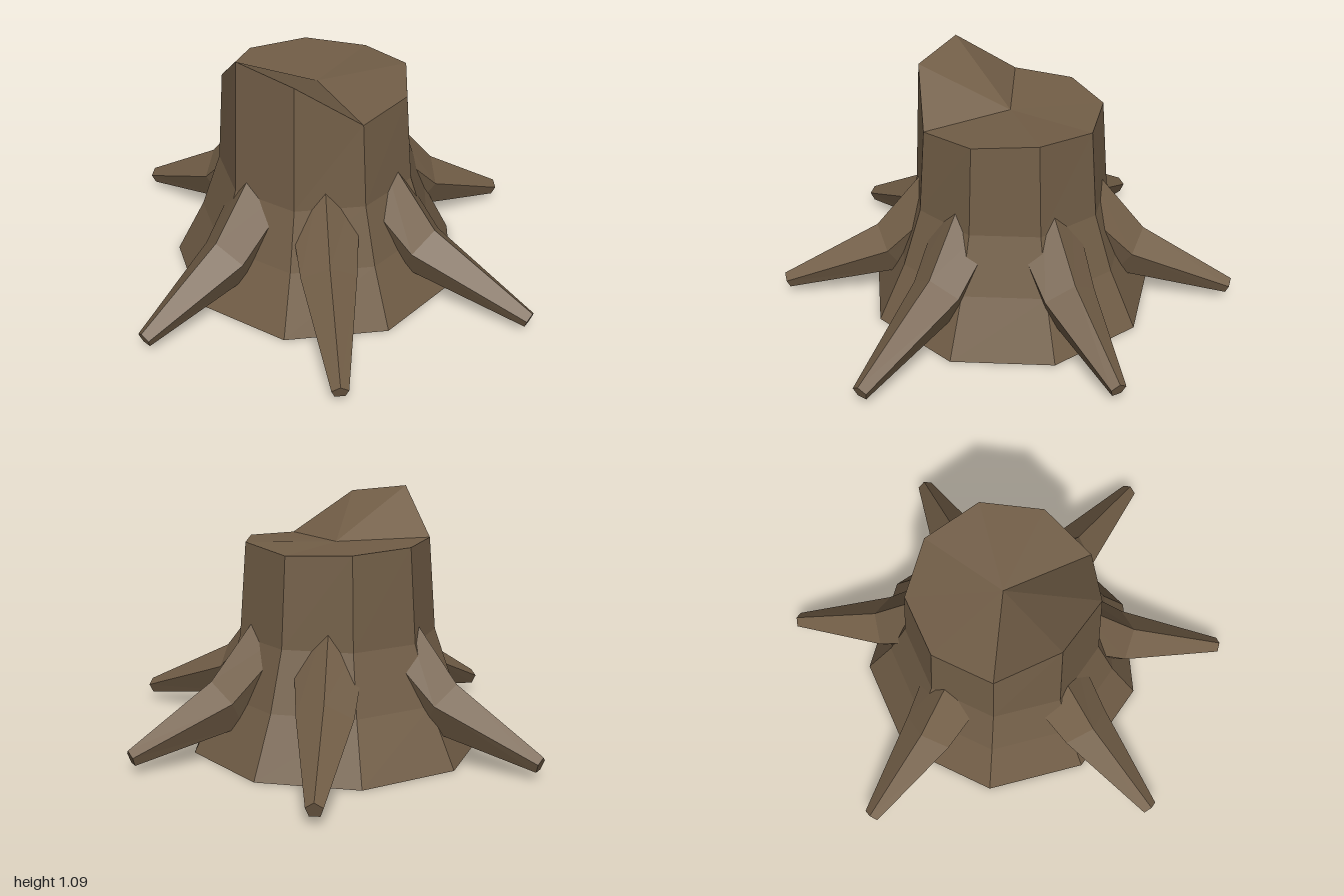
import * as THREE from 'three';

const CENTRE = new THREE.Vector3(-0.04, 0, 0.01);

// Skin consecutive rings of points, then close the last ring with a fan to a tip point.
function loft(rings, tip) {
  const pos = [];
  const tri = (...points) => points.forEach((p) => pos.push(p.x, p.y, p.z));
  const n = rings[0].length;
  for (let i = 0; i < rings.length; i++) {
    for (let j = 0; j < n; j++) {
      const k = (j + 1) % n;
      const a = rings[i][j], b = rings[i][k];
      if (i === rings.length - 1) {
        tri(a, tip, b);
      } else {
        const c = rings[i + 1][j], d = rings[i + 1][k];
        tri(a, c, b);
        tri(b, c, d);
      }
    }
  }
  const geometry = new THREE.BufferGeometry();
  geometry.setAttribute('position', new THREE.Float32BufferAttribute(pos, 3));
  geometry.computeVertexNormals();
  return geometry;
}

// Nine-sided flared trunk, open below, with a splintered uneven rim.
function trunkGeometry() {
  const rimHeights = [0.885, 0.865, 1.05, 1.09, 0.9, 0.9, 0.89, 0.88, 0.9];
  const profile = [[0.64, 0], [0.515, 0.25], [0.43, 0.5], [0.4, null]];
  const rings = profile.map(([r, y]) => rimHeights.map((rim, j) => {
    const a = (j / 9) * Math.PI * 2;
    return new THREE.Vector3(r * Math.cos(a), y ?? rim, r * Math.sin(a)).add(CENTRE);
  }));
  return loft(rings, new THREE.Vector3(0, 0.88, 0).add(CENTRE));
}

// Five-sided tapering root that bends out of the trunk wall.
function rootGeometry(x, z) {
  const out = new THREE.Vector3(x, 0, z).sub(CENTRE);
  const reach = out.length();
  out.normalize();
  const side = new THREE.Vector3(out.z, 0, -out.x);
  const at = (r, y) => out.clone().multiplyScalar(r).setY(y).add(CENTRE);
  // distance, height, radius, and tilt of the section (outward, up)
  const sections = [
    [0.2, 0.55, 0.17, 0.65, 0.76],
    [0.53, 0.234, 0.122, 0.5, 0.866],
    [reach, 0.067, 0.036, 0.32, 0.947],
  ];
  const rings = sections.map(([r, y, radius, tiltOut, tiltUp]) => {
    const up = out.clone().multiplyScalar(tiltOut).setY(tiltUp);
    return Array.from({ length: 5 }, (_, j) => {
      const t = (j / 5) * Math.PI * 2;
      return at(r, y)
        .addScaledVector(up, radius * Math.cos(t))
        .addScaledVector(side, radius * Math.sin(t));
    });
  });
  return loft(rings, at(reach, 0.067));
}

export function createModel() {
  const bark = new THREE.MeshStandardMaterial({ color: 0x725e47, flatShading: true, side: THREE.DoubleSide });
  bark.name = 'bark brown';

  const stump = new THREE.Group();
  stump.name = 'treeStump';
  const add = (geometry, name) => {
    const mesh = new THREE.Mesh(geometry, bark);
    mesh.name = name;
    stump.add(mesh);
  };

  add(trunkGeometry(), 'trunk');

  // Root tips seen from above
  const tips = [[0.99, 0.21], [0.425, 0.905], [-0.42, 0.92], [-0.99, -0.19], [-0.315, -0.935], [0.575, -0.715]];
  tips.forEach(([x, z], i) => add(rootGeometry(x, z), `root${i + 1}`));

  return stump;
}
